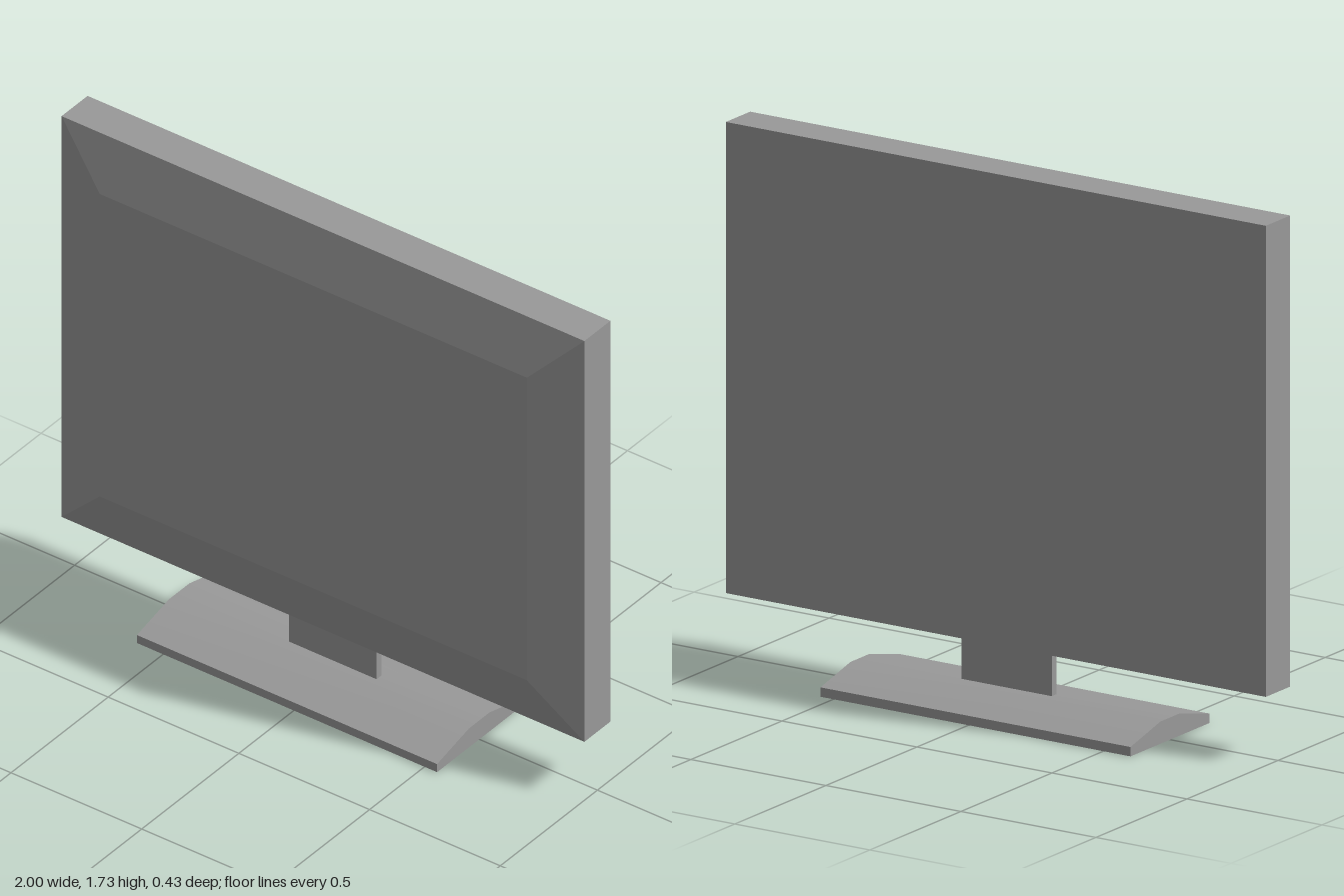
import * as THREE from 'three';

const grey = new THREE.MeshStandardMaterial({ color: 0x999999 });
const greyOpen = new THREE.MeshStandardMaterial({ color: 0x999999, side: THREE.DoubleSide });

function addMesh(parent, name, geometry, material = grey) {
  const mesh = new THREE.Mesh(geometry, material);
  mesh.name = name;
  parent.add(mesh);
  return mesh;
}

// Rectangular cross-sections stacked along z, with flat sides and end caps
function stackedRectangles(sections) {
  const points = [];
  const index = [];
  for (const { z, x, y0, y1 } of sections) {
    points.push(-x, y0, z, x, y0, z, x, y1, z, -x, y1, z);
  }
  for (let s = 0; s < sections.length - 1; s++) {
    for (let i = 0; i < 4; i++) {
      const a = s * 4 + i;
      const b = s * 4 + (i + 1) % 4;
      index.push(a, b, b + 4, a, b + 4, a + 4);
    }
  }
  const f = (sections.length - 1) * 4;
  index.push(0, 2, 1, 0, 3, 2, f, f + 1, f + 2, f, f + 2, f + 3);
  const geometry = new THREE.BufferGeometry();
  geometry.setAttribute('position', new THREE.Float32BufferAttribute(points, 3));
  geometry.setIndex(index);
  const flat = geometry.toNonIndexed();
  flat.computeVertexNormals();
  return flat;
}

// A [z, y] profile swept along x, smooth across its joints
function sweptStrip(profile, x0, x1) {
  const points = [];
  const index = [];
  profile.forEach(([z, y], i) => {
    points.push(x0, y, z, x1, y, z);
    const a = i * 2;
    if (i < profile.length - 1) index.push(a, a + 1, a + 3, a, a + 3, a + 2);
  });
  const geometry = new THREE.BufferGeometry();
  geometry.setAttribute('position', new THREE.Float32BufferAttribute(points, 3));
  geometry.setIndex(index);
  geometry.computeVertexNormals();
  return geometry;
}

export function createModel() {
  const model = new THREE.Group();
  model.name = 'flatScreenMonitor';

  // Screen: a slab whose front is bevelled to a smaller raised face
  addMesh(model, 'screenHousing', stackedRectangles([
    { z: -0.067, x: 1, y0: 0.22, y1: 1.729 },
    { z: 0.067, x: 1, y0: 0.22, y1: 1.729 },
    { z: 0.117, x: 0.817, y0: 0.403, y1: 1.542 },
  ]));

  // Neck: thin plate that pokes just through the base shell
  const neck = addMesh(model, 'neck', new THREE.BoxGeometry(0.335, 0.157, 0.025));
  neck.position.set(-0.003, 0.1445, 0);

  // Base: hollow arched shell, open underneath
  const base = new THREE.Group();
  base.name = 'base';
  model.add(base);
  const x0 = -0.6;
  const x1 = 0.548;
  const d = 0.217;
  const arch = [[d, 0.03], [0.053, 0.071], [-0.053, 0.071], [-d, 0.03]];
  addMesh(base, 'baseTop', sweptStrip(arch, x0, x1), greyOpen);
  addMesh(base, 'baseFrontLip', sweptStrip([[d, 0], [d, 0.03]], x0, x1), greyOpen);
  addMesh(base, 'baseBackLip', sweptStrip([[-d, 0.03], [-d, 0]], x0, x1), greyOpen);

  // End walls close the arch on both sides
  const outline = [[d, 0], ...arch, [-d, 0]].map(([z, y]) => new THREE.Vector2(-z, y));
  const endShape = new THREE.Shape(outline);
  for (const [name, x] of [['baseLeftEnd', x1], ['baseRightEnd', x0]]) {
    const end = addMesh(base, name, new THREE.ShapeGeometry(endShape), greyOpen);
    end.rotation.y = Math.PI / 2;
    end.position.x = x;
  }

  return model;
}
